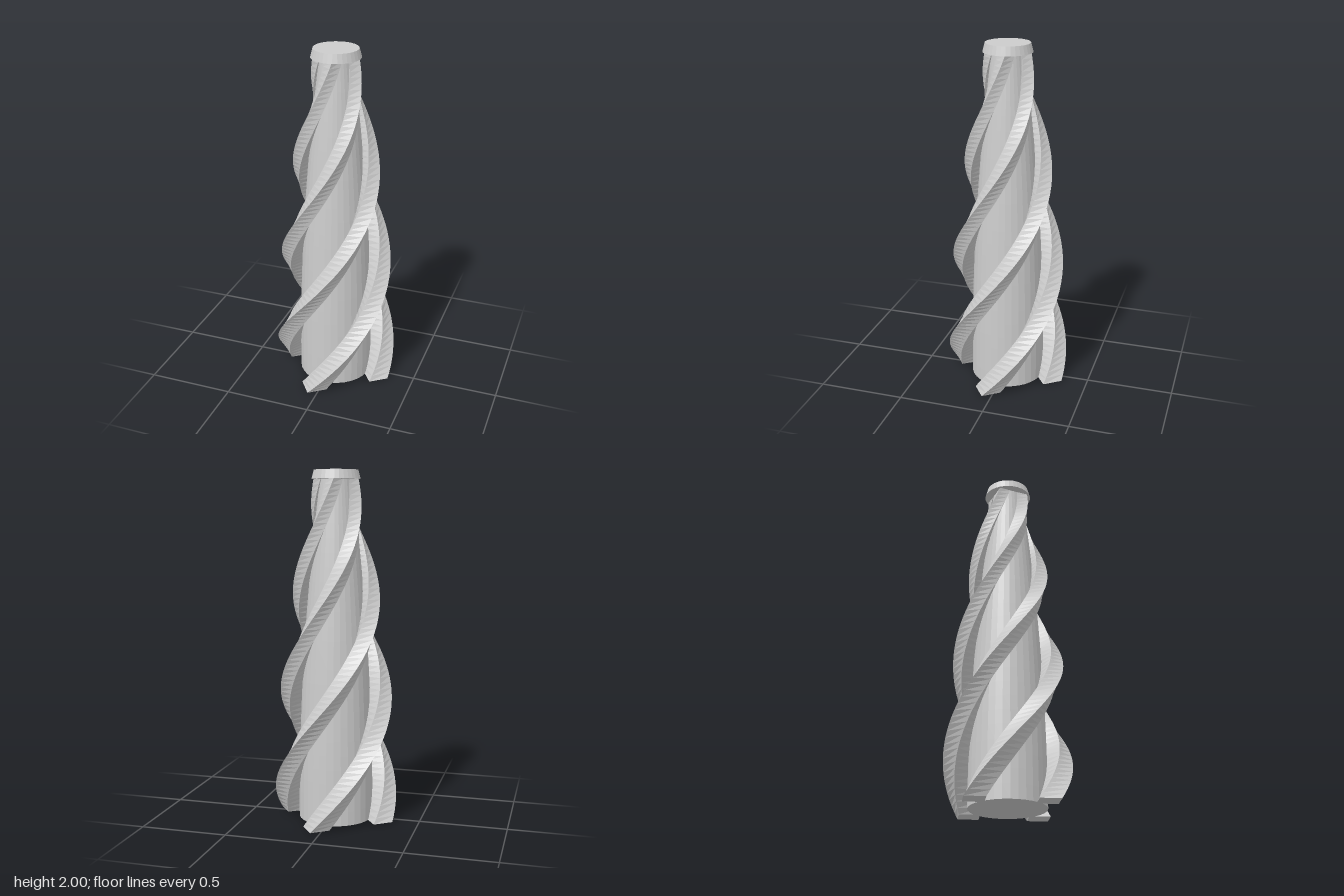
import * as THREE from 'three';

const material = new THREE.MeshStandardMaterial({ color: 0xcccccc, flatShading: true });
const NECK = 1.95; // height where the shaft and ribs meet the cap
const TWIST = THREE.MathUtils.degToRad(288);
const START = THREE.MathUtils.degToRad(-8.8);

const ribOuter = (y) => 0.355 - 0.06 * y * y;
const ribHalf = (y) => 0.082 - 0.0185 * y;
const coreRadius = (y) => 0.215 - 0.033 * y * y;

// Diamond section, one corner pointing outwards, swept up a tapering helix
function ribGeometry(steps = 64) {
  const pos = [];
  const index = [];
  for (let i = 0; i <= steps; i++) {
    const t = i / steps;
    const y = t * NECK;
    const a = START + t * TWIST;
    const h = ribHalf(y);
    const c = ribOuter(y) - h;
    for (let k = 0; k < 4; k++) {
      const radial = c + h * Math.cos(k * Math.PI / 2);
      const side = h * Math.sin(k * Math.PI / 2);
      pos.push(
        radial * Math.sin(a) + side * Math.cos(a),
        y,
        radial * Math.cos(a) - side * Math.sin(a)
      );
    }
  }
  for (let i = 0; i < steps; i++) {
    for (let k = 0; k < 4; k++) {
      const p = i * 4 + k;
      const q = i * 4 + (k + 1) % 4;
      index.push(p, q, q + 4, p, q + 4, p + 4);
    }
  }
  // End faces
  const e = steps * 4;
  index.push(0, 2, 1, 0, 3, 2, e, e + 1, e + 2, e, e + 2, e + 3);

  const g = new THREE.BufferGeometry();
  g.setAttribute('position', new THREE.Float32BufferAttribute(pos, 3));
  g.setIndex(index);
  const flat = g.toNonIndexed();
  flat.computeVertexNormals();
  return flat;
}

export function createModel() {
  const model = new THREE.Group();
  model.name = 'twistedTower';

  const add = (geometry, name) => {
    const mesh = new THREE.Mesh(geometry, material);
    mesh.name = name;
    model.add(mesh);
    return mesh;
  };

  // Tapering core, closed at the base
  const profile = [new THREE.Vector2(0, 0)];
  for (let i = 0; i <= 24; i++) {
    const y = (i / 24) * NECK;
    profile.push(new THREE.Vector2(coreRadius(y), y));
  }
  add(new THREE.LatheGeometry(profile, 32), 'core');

  // Four spiral ribs
  const rib = ribGeometry();
  for (let i = 0; i < 4; i++) {
    add(rib, 'spiralRib' + (i + 1)).rotation.y = i * Math.PI / 2;
  }

  // Cap
  const cap = add(new THREE.CylinderGeometry(0.125, 0.138, 2 - NECK, 32), 'cap');
  cap.position.y = (2 + NECK) / 2;

  return model;
}
